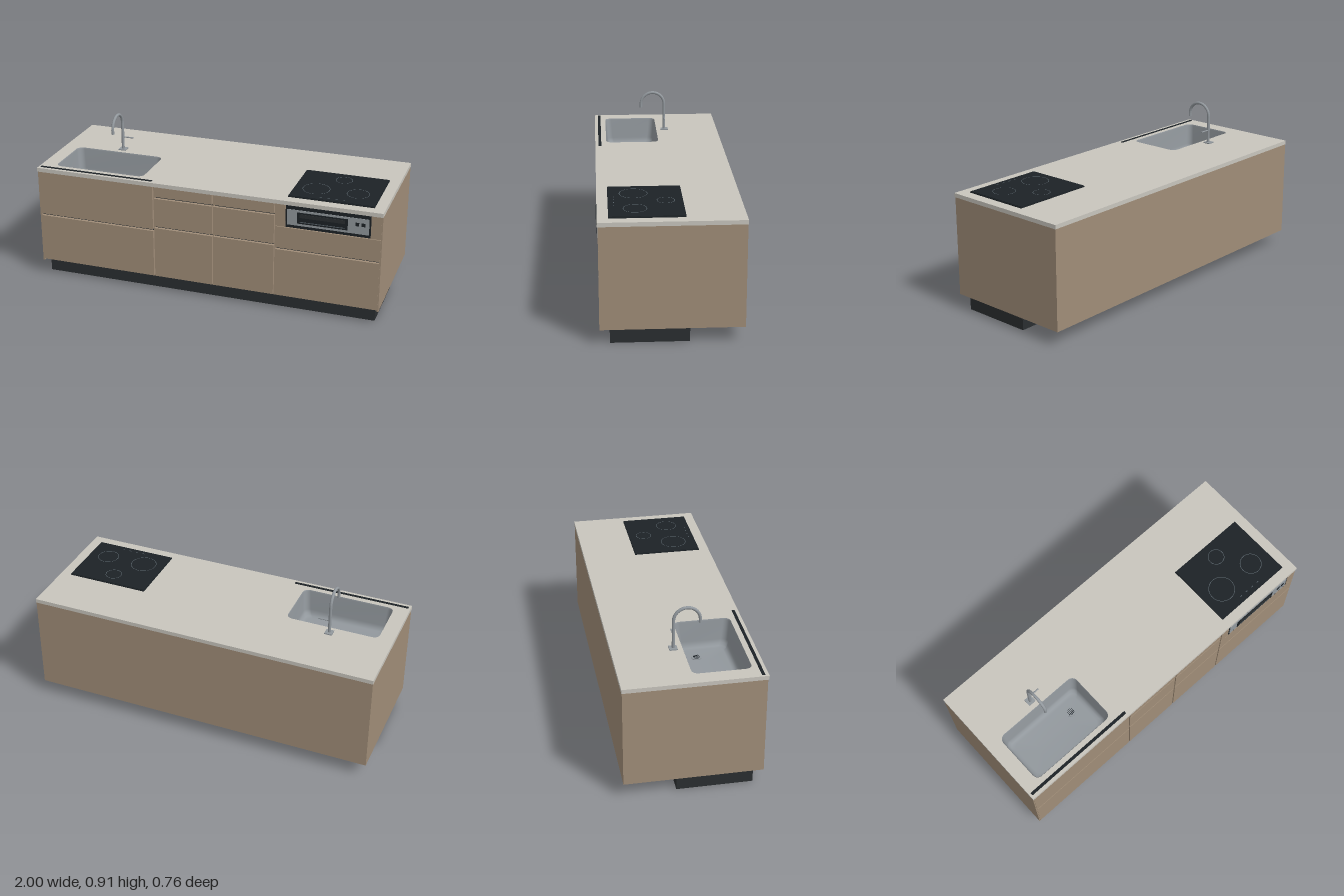
import * as THREE from 'three';

const mat = (color, extra = {}) => new THREE.MeshStandardMaterial({ color, ...extra });
const wood = mat(0xa08d78), stone = mat(0xc8c5bd), dark = mat(0x2a2e30), black = mat(0x1c2226);
const steel = mat(0x92989d), bowlSteel = mat(0x92989d, { side: THREE.DoubleSide }), mark = mat(0x59636a);

export function createModel() {
  const root = new THREE.Group();
  const add = (name, geo, material, x = 0, y = 0, z = 0) => {
    const m = new THREE.Mesh(geo, material);
    m.name = name;
    m.position.set(x, y, z);
    root.add(m);
    return m;
  };
  // Box given by its limits on each axis
  const box = (name, material, x0, x1, y0, y1, z0, z1) =>
    add(name, new THREE.BoxGeometry(x1 - x0, y1 - y0, z1 - z0), material,
      (x0 + x1) / 2, (y0 + y1) / 2, (z0 + z1) / 2);

  // Rounded rectangle outline, points in order around the centre
  const outline = (hx, hz, r, n = 6) => {
    const pts = [];
    [[1, 1], [-1, 1], [-1, -1], [1, -1]].forEach(([sx, sz], q) => {
      for (let i = 0; i <= n; i++) {
        const a = (q + i / n) * Math.PI / 2;
        pts.push(new THREE.Vector2(sx * (hx - r) + r * Math.cos(a), sz * (hz - r) + r * Math.sin(a)));
      }
    });
    return pts;
  };

  // Plinth and outer shell, open underneath
  box('plinth', dark, -0.975, 0.972, 0, 0.085, -0.092, 0.32);
  for (const s of [-1, 1]) {
    const x = s * 0.994;
    box('sidePanel', wood, x - 0.005, x + 0.005, 0.085, 0.645, -0.371, 0.372);
  }
  box('backPanel', wood, -0.999, 0.999, 0.085, 0.645, -0.376, -0.366);

  // Worktop with a cut-out for the sink
  const sinkX = -0.6475, sinkZ = 0.155, sinkHX = 0.267, sinkHZ = 0.157, sinkR = 0.035;
  const top = new THREE.Shape([[-1, -0.378], [1, -0.378], [1, 0.378], [-1, 0.378]]
    .map(p => new THREE.Vector2(...p)));
  top.holes.push(new THREE.Path(outline(sinkHX, sinkHZ, sinkR)
    .map(p => new THREE.Vector2(p.x + sinkX, p.y - sinkZ)).reverse()));
  const topGeo = new THREE.ExtrudeGeometry(top, { depth: 0.023, bevelEnabled: false });
  topGeo.rotateX(-Math.PI / 2);
  add('worktop', topGeo, stone, 0, 0.645, 0);
  box('worktopRail', black, -0.987, -0.308, 0.667, 0.6695, 0.342, 0.359);

  // Carcass: floor and upright dividers, open at the back
  box('cabinetFloor', wood, -0.989, 0.989, 0.085, 0.097, -0.09, 0.356);
  for (const x of [-0.983, -0.295, 0.055, 0.41, 0.983])
    box('divider', wood, x - 0.006, x + 0.006, 0.097, 0.645, -0.09, 0.356);

  // Drawer fronts by column, with dark grip channels in the gaps
  const columns = [
    { x0: -0.992, x1: -0.299, ys: [0.097, 0.38, 0.65] },
    { x0: -0.291, x1: 0.051, ys: [0.097, 0.4, 0.58, 0.65] },
    { x0: 0.059, x1: 0.406, ys: [0.097, 0.4, 0.58, 0.65] },
    { x0: 0.414, x1: 0.992, ys: [0.097, 0.38, 0.516] },
  ];
  for (const { x0, x1, ys } of columns) {
    for (let i = 0; i < ys.length - 1; i++) {
      const low = i ? ys[i] + 0.005 : ys[i];
      const last = i === ys.length - 2;
      const high = last ? ys[i + 1] - 0.005 : ys[i + 1] - 0.006;
      box('drawerFront', wood, x0, x1, low, high, 0.356, 0.374);
      if (!last) box('gripChannel', dark, x0 + 0.004, x1 - 0.004, ys[i + 1] - 0.02, ys[i + 1] + 0.015, 0.345, 0.357);
    }
  }
  box('grillFiller', wood, 0.414, 0.469, 0.514, 0.645, 0.356, 0.374);
  box('grillFiller', wood, 0.937, 0.992, 0.514, 0.645, 0.356, 0.374);

  // Grill under the hob
  box('grillBody', black, 0.478, 0.928, 0.514, 0.644, 0.05, 0.36);
  box('grillFrame', black, 0.47, 0.936, 0.515, 0.643, 0.355, 0.373);
  box('grillFascia', steel, 0.479, 0.927, 0.532, 0.622, 0.36, 0.376);
  box('grillWindow', black, 0.535, 0.812, 0.546, 0.61, 0.365, 0.379);
  box('grillHandle', dark, 0.55, 0.797, 0.582, 0.602, 0.37, 0.382);
  box('grillGlass', mark, 0.55, 0.797, 0.554, 0.558, 0.37, 0.38);
  for (const x of [0.863, 0.896]) box('grillButton', black, x - 0.01, x + 0.01, 0.578, 0.597, 0.37, 0.379);

  // Hob with burner rings and control marks
  box('hobFrame', black, 0.465, 0.94, 0.668, 0.673, -0.072, 0.32);
  box('hobGlass', black, 0.469, 0.936, 0.672, 0.676, -0.068, 0.316);
  for (const [x, z, r] of [[0.703, 0.018, 0.046], [0.588, 0.184, 0.074], [0.82, 0.182, 0.061]]) {
    const ring = new THREE.RingGeometry(r - 0.0015, r + 0.0015, 48);
    ring.rotateX(-Math.PI / 2);
    add('burnerRing', ring, mark, x, 0.677, z);
  }
  for (const x of [0.64, 0.683, 0.727, 0.77])
    box('hobControl', mark, x - 0.006, x + 0.006, 0.675, 0.677, 0.287, 0.291);

  // Sink bowl: rounded loops from rim to floor
  const sections = [[0, 0.668], [0.003, 0.66], [0.012, 0.545], [0.017, 0.525], [0.028, 0.511], [0.045, 0.507], [0.14, 0.505]];
  const pos = [], idx = [];
  for (const [inset, y] of sections) {
    const r = inset > 0.1 ? 0.012 : sinkR;
    for (const p of outline(sinkHX - inset, sinkHZ - inset, r)) pos.push(p.x, y, p.y);
  }
  const n = pos.length / 3 / sections.length;
  for (let s = 0; s < sections.length - 1; s++)
    for (let i = 0; i < n; i++) {
      const a = s * n + i, b = s * n + (i + 1) % n;
      idx.push(a, b, a + n, b, b + n, a + n);
    }
  const centre = pos.length / 3, lastRing = centre - n;
  pos.push(0, 0.505, 0);
  for (let i = 0; i < n; i++) idx.push(lastRing + i, lastRing + (i + 1) % n, centre);
  const bowl = new THREE.BufferGeometry();
  bowl.setAttribute('position', new THREE.Float32BufferAttribute(pos, 3));
  bowl.setIndex(idx);
  bowl.computeVertexNormals();
  add('sinkBowl', bowl, bowlSteel, sinkX, 0, sinkZ);

  // Drain with a slotted strainer
  add('drain', new THREE.CylinderGeometry(0.029, 0.029, 0.006, 32), steel, -0.5, 0.507, 0.106);
  for (let i = -2; i <= 2; i++) {
    const h = 0.021 - Math.abs(i) * 0.004;
    box('drainSlot', black, -0.5 + i * 0.008 - 0.0015, -0.5 + i * 0.008 + 0.0015, 0.509, 0.511, 0.106 - h, 0.106 + h);
  }

  // Tap: base plate, gooseneck spout and side lever
  const tapX = -0.65, tapZ = -0.05;
  box('tapBase', steel, tapX - 0.022, tapX + 0.022, 0.668, 0.674, tapZ - 0.024, tapZ + 0.02);
  const spout = new THREE.CurvePath();
  const v = (y, z) => new THREE.Vector3(0, y, z);
  const neck = [v(0.67, tapZ), v(0.75, tapZ)];
  for (let i = 0; i <= 16; i++) {
    const a = Math.PI * (1 - i / 16);
    neck.push(v(0.833 + 0.071 * Math.sin(a), 0.021 + 0.071 * Math.cos(a)));
  }
  neck.push(v(0.812, 0.092));
  for (let i = 0; i < neck.length - 1; i++) spout.add(new THREE.LineCurve3(neck[i], neck[i + 1]));
  add('tapSpout', new THREE.TubeGeometry(spout, 90, 0.0085, 16), steel, tapX);
  const outlet = new THREE.CircleGeometry(0.0085, 16);
  outlet.rotateX(Math.PI / 2);
  add('tapOutlet', outlet, dark, tapX, 0.8125, 0.092);
  const lever = new THREE.CylinderGeometry(0.004, 0.004, 0.066, 12);
  lever.rotateZ(Math.PI / 2);
  add('tapLever', lever, steel, tapX + 0.033, 0.747, tapZ);

  return root;
}
